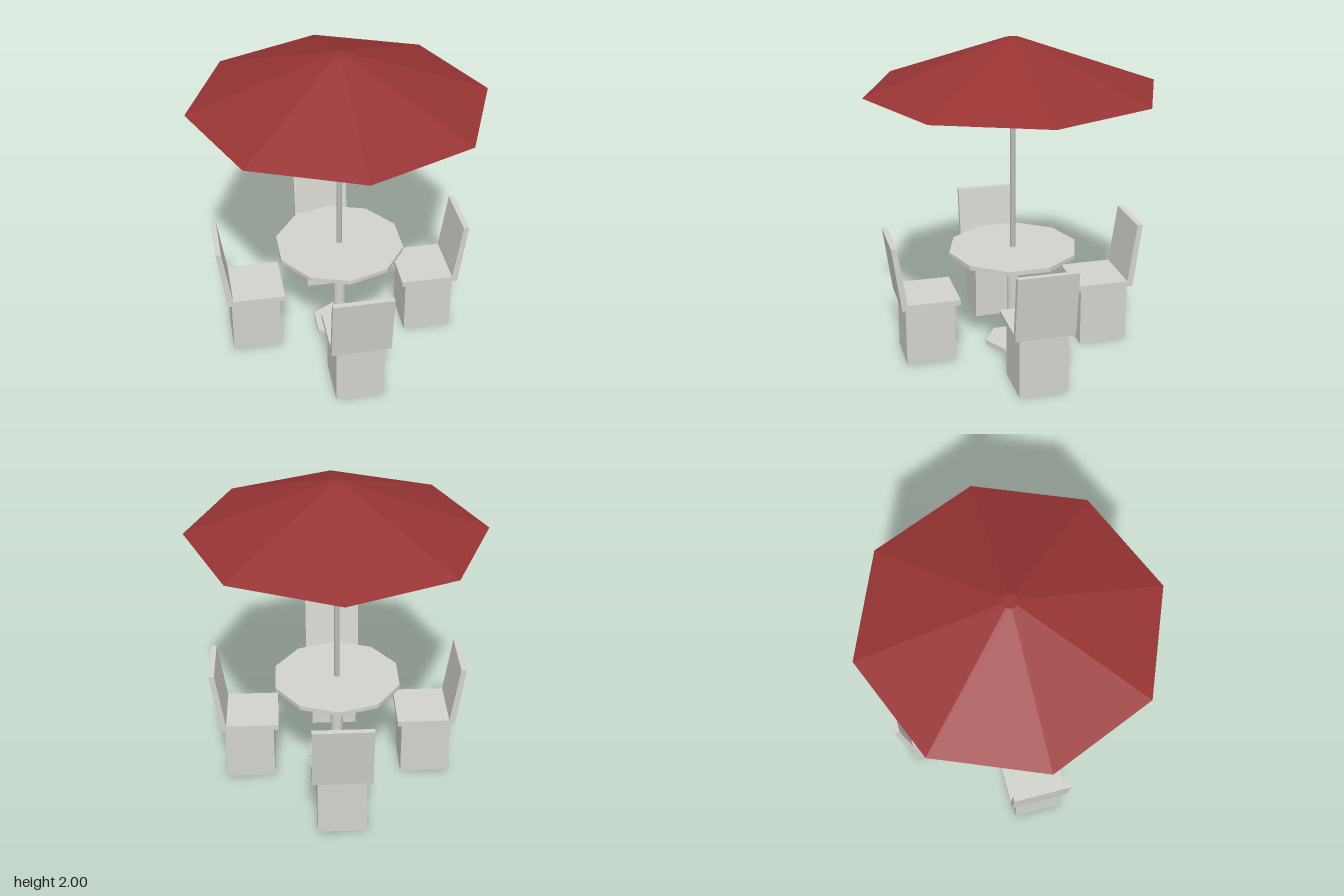
import * as THREE from 'three';

export function createModel() {
  const model = new THREE.Group();
  const stone = new THREE.MeshStandardMaterial({ color: 0xd2d3cc });
  const metal = new THREE.MeshStandardMaterial({ color: 0xbcbcba });
  const red = new THREE.MeshStandardMaterial({ color: 0x983434 });
  stone.name = 'pale stone';
  metal.name = 'grey metal';
  red.name = 'canopy red';

  const add = (parent, name, geometry, material, y = 0) => {
    const mesh = new THREE.Mesh(geometry, material);
    mesh.name = name;
    mesh.position.y = y;
    parent.add(mesh);
    return mesh;
  };

  // Upright prism or round post between two heights
  const post = (name, rTop, rBottom, y0, y1, sides, material, faceted) => {
    let geometry = new THREE.CylinderGeometry(rTop, rBottom, y1 - y0, sides);
    if (faceted) {
      geometry = geometry.toNonIndexed();
      geometry.computeVertexNormals();
    }
    return add(model, name, geometry, material, (y0 + y1) / 2);
  };

  // Table and parasol
  post('tableFoot', 0.18, 0.18, 0, 0.027, 6, stone, true);
  post('tableColumn', 0.04, 0.04, 0.027, 0.64, 12, stone, false);
  post('tableTop', 0.41, 0.41, 0.64, 0.667, 10, stone, true);
  post('parasolPole', 0.018, 0.018, 0.66, 1.7, 10, metal, false);
  post('parasolCanopy', 0.045, 0.905, 1.688, 2, 8, red, true);

  // Seat and leaning back share one bent profile
  const profile = new THREE.Shape([
    [0.38, 0.385], [0.745, 0.385], [0.8, 0.8],
    [0.765, 0.8], [0.71, 0.42], [0.38, 0.42],
  ].map(([x, y]) => new THREE.Vector2(x, y)));
  const seatGeometry = new THREE.ExtrudeGeometry(profile, { depth: 0.366, bevelEnabled: false });
  seatGeometry.translate(0, 0, -0.183);
  const blockGeometry = new THREE.BoxGeometry(0.31, 0.385, 0.3);
  blockGeometry.translate(0.565, 0.1925, 0);

  // Four chairs facing the table
  for (let i = 0; i < 4; i++) {
    const chair = new THREE.Group();
    chair.name = `chair${i + 1}`;
    add(chair, 'seatAndBack', seatGeometry, stone);
    add(chair, 'chairBase', blockGeometry, stone);
    chair.rotation.y = (i * Math.PI) / 2;
    model.add(chair);
  }
  return model;
}
